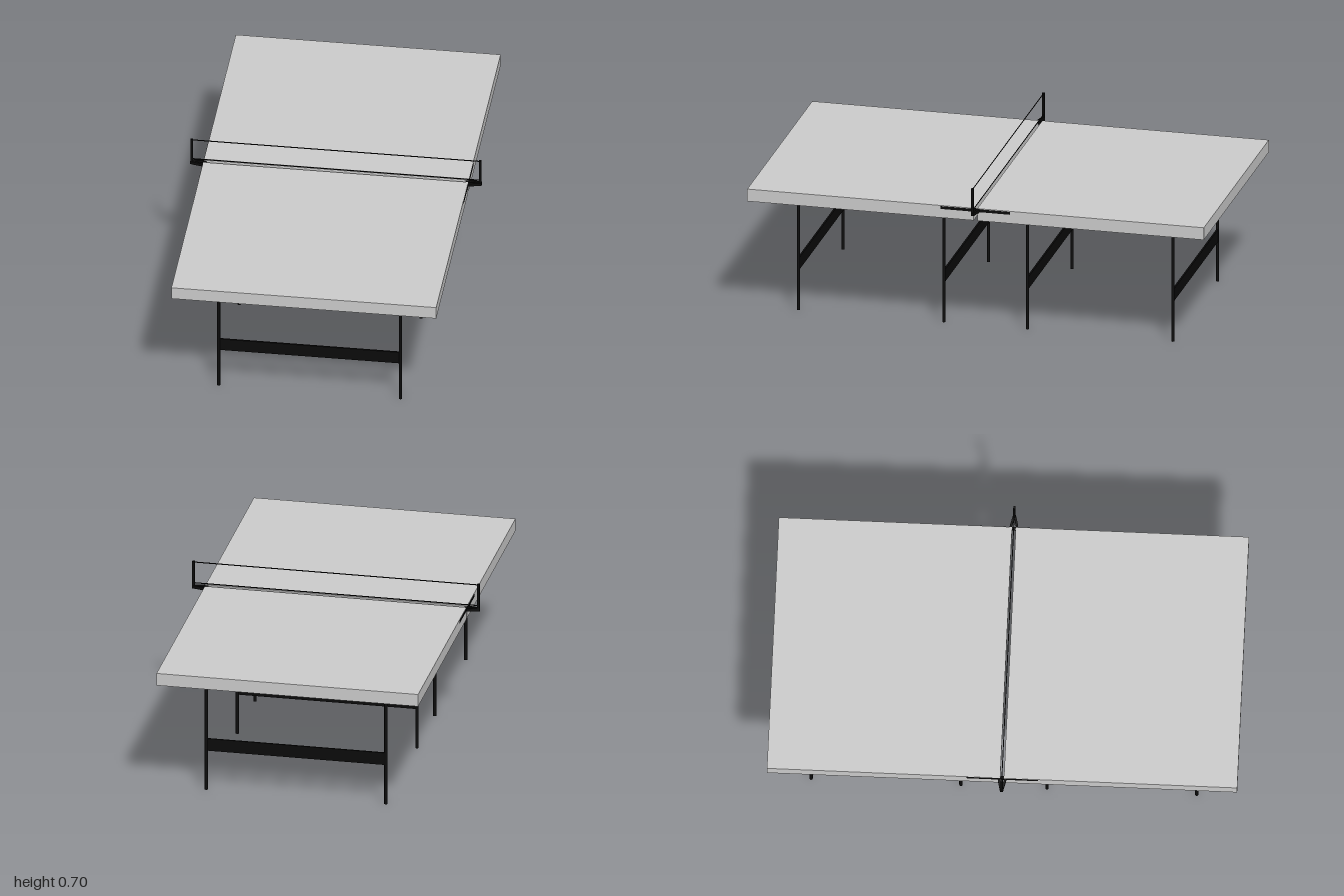
import * as THREE from 'three';

export function createModel() {
  const model = new THREE.Group();
  const grey = new THREE.MeshStandardMaterial({ color: 0xcccccc });
  const black = new THREE.MeshStandardMaterial({ color: 0x0a0a0a });

  const add = (name, geometry, material, x, y, z) => {
    const mesh = new THREE.Mesh(geometry, material);
    mesh.name = name;
    mesh.position.set(x, y, z);
    model.add(mesh);
    return mesh;
  };
  const box = (name, material, w, h, d, x, y, z) =>
    add(name, new THREE.BoxGeometry(w, h, d), material, x, y, z);

  // Two table halves with a narrow gap under the net
  for (const s of [-1, 1]) box('tableHalf', grey, 1.136, 0.055, 0.992, 0, 0.5625, s * 0.504);

  // Four leg frames: two round legs joined by a flat crossbar
  const legGeometry = new THREE.CylinderGeometry(0.007, 0.007, 0.537, 16);
  for (const z of [-0.82, -0.183, 0.183, 0.82]) {
    for (const s of [-1, 1]) add('leg', legGeometry, black, s * 0.39, 0.2685, z);
    box('crossbar', black, 0.78, 0.055, 0.008, 0, 0.207, z);
  }

  // V-shaped bracket that carries each net post, tapering outwards
  const vee = new THREE.Shape();
  [[0.555, -0.018], [0.575, -0.018], [0.625, -0.006], [0.625, 0.006], [0.575, 0.018],
    [0.555, 0.018], [0.555, 0.008], [0.575, 0.008], [0.612, 0], [0.575, -0.008], [0.555, -0.008]]
    .forEach(([x, z], i) => (i ? vee.lineTo(x, z) : vee.moveTo(x, z)));
  const bracketGeometry = new THREE.ExtrudeGeometry(vee, { depth: 0.013, bevelEnabled: false });
  bracketGeometry.rotateX(-Math.PI / 2);

  for (const s of [-1, 1]) {
    const bracket = add('netBracket', bracketGeometry, black, 0, 0.575, 0);
    bracket.rotation.y = s > 0 ? 0 : Math.PI;
    // Rail along the table edge, spanning both halves
    box('clampRail', black, 0.012, 0.012, 0.304, s * 0.5635, 0.581, 0);
    box('netPost', black, 0.011, 0.123, 0.01, s * 0.6185, 0.6365, 0);
  }

  // Upper and lower net cords
  for (const y of [0.694, 0.599]) box('netCord', black, 1.236, 0.004, 0.002, 0, y, 0);

  return model;
}
